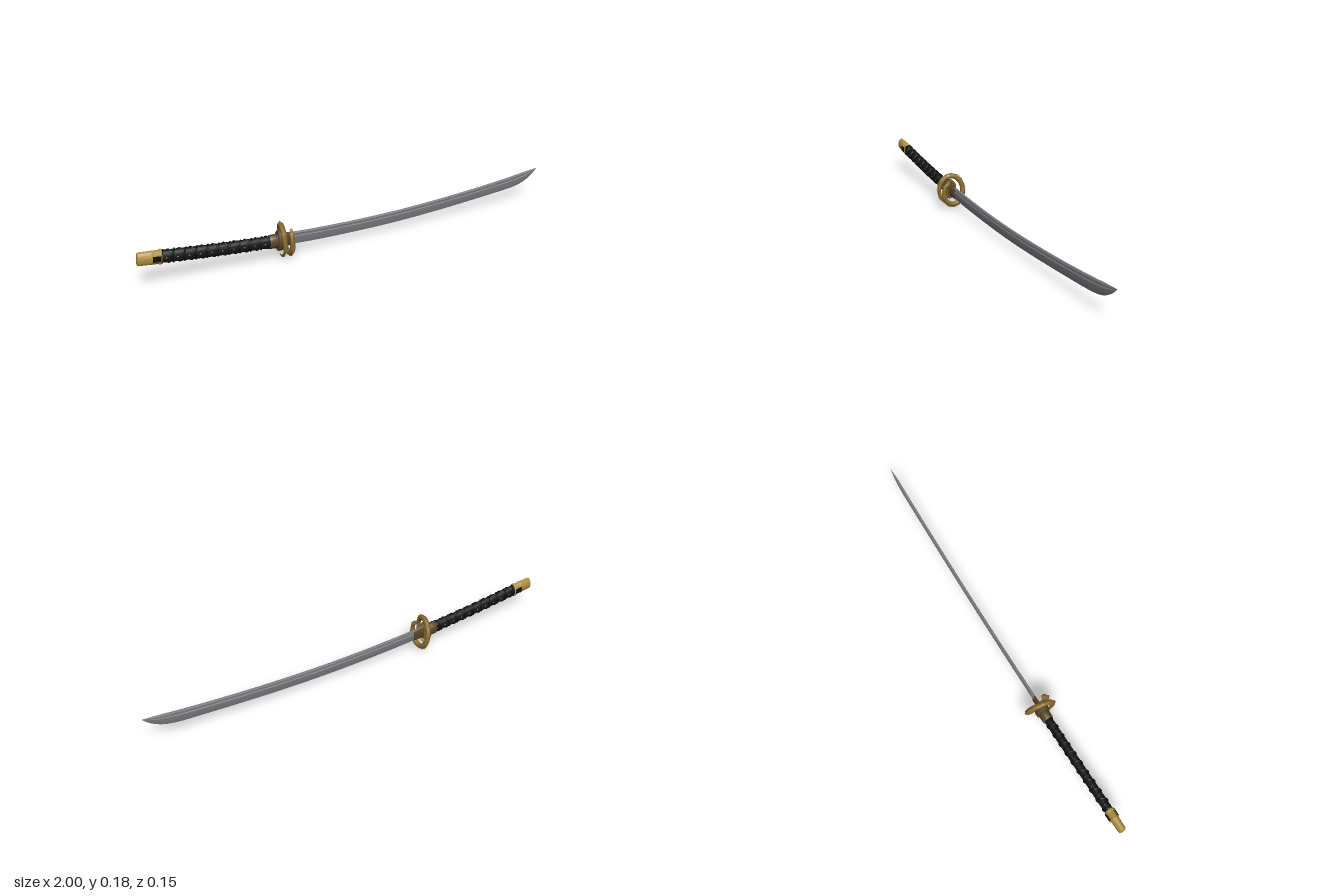
import * as THREE from 'three';
import { mergeGeometries, toCreasedNormals } from 'three/addons/utils/BufferGeometryUtils.js';

const paint = (name, color) => {
  const m = new THREE.MeshStandardMaterial({ color });
  m.name = name;
  return m;
};
const steel = paint('steel', 0x7a7c80);
const gold = paint('gold', 0xb0903f);
const oldGold = paint('old gold', 0x8c6d33);
const bronze = paint('bronze', 0x5a4524);
const black = paint('black cord', 0x0d0d0e);
const darkWrap = paint('dark wrap', 0x17161a);

// Skin closed loops of points; loops turn counterclockwise about the direction of travel
function loft(loops, crease = 0.6) {
  const pos = [];
  const n = loops[0].length;
  const tri = (...p) => p.forEach((v) => pos.push(v.x, v.y, v.z));
  const middle = (l) => l.reduce((s, v) => s.add(v), new THREE.Vector3()).divideScalar(n);
  for (let i = 0; i < loops.length - 1; i++) {
    for (let j = 0; j < n; j++) {
      const k = (j + 1) % n;
      const a = loops[i][j], b = loops[i][k], c = loops[i + 1][j], d = loops[i + 1][k];
      tri(a, b, c);
      tri(b, d, c);
    }
  }
  const first = loops[0], last = loops[loops.length - 1];
  const m0 = middle(first), m1 = middle(last);
  for (let j = 0; j < n; j++) {
    const k = (j + 1) % n;
    tri(m0, first[k], first[j]);
    tri(m1, last[j], last[k]);
  }
  const g = new THREE.BufferGeometry();
  g.setAttribute('position', new THREE.Float32BufferAttribute(pos, 3));
  return toCreasedNormals(g, crease);
}

// Smooth curve through points with increasing x, read as y(x)
function through(points) {
  return (x) => {
    let i = 0;
    while (i < points.length - 2 && x > points[i + 1][0]) i++;
    const p = (k) => points[Math.min(Math.max(k, 0), points.length - 1)];
    const [a, b, c, d] = [p(i - 1), p(i), p(i + 1), p(i + 2)];
    const h = c[0] - b[0], t = (x - b[0]) / h;
    const s0 = (c[1] - a[1]) / (c[0] - a[0]) * h, s1 = (d[1] - b[1]) / (d[0] - b[0]) * h;
    const t2 = t * t, t3 = t2 * t;
    return (2 * t3 - 3 * t2 + 1) * b[1] + (t3 - 2 * t2 + t) * s0 + (3 * t2 - 2 * t3) * c[1] + (t3 - t2) * s1;
  };
}

// Centre line of the grip, and a point on an oval around it
const gripY = through([[-1, 0.156], [-0.9, 0.144], [-0.68, 0.117], [-0.43, 0.093], [-0.3, 0.085]]);
function onGrip(x, angle, ry, rz) {
  const slope = (gripY(x + 0.005) - gripY(x - 0.005)) / 0.01;
  const dy = Math.cos(angle) * ry;
  return new THREE.Vector3(x - slope * dy, gripY(x) + dy, Math.sin(angle) * rz);
}
const gripLoft = (stations, sides = 28) => loft(stations.map(([x, ry, rz]) =>
  Array.from({ length: sides }, (_, j) => onGrip(x, j / sides * Math.PI * 2, ry, rz))));

// Blade with a groove below the spine
function bladeGeometry() {
  const spine = through([[-0.36, 0.118], [-0.2, 0.108], [0, 0.101], [0.2, 0.1], [0.4, 0.106], [0.6, 0.117], [0.8, 0.133], [1, 0.155]]);
  const edge = through([[-0.36, 0.06], [-0.2, 0.05], [0, 0.044], [0.2, 0.043], [0.4, 0.049], [0.6, 0.06], [0.8, 0.074], [0.86, 0.08], [0.92, 0.095], [0.97, 0.124], [1, 0.1545]]);
  const half = [[0, 0.003], [0.07, 0.0055], [0.15, 0.006], [0.19, 0.0035], [0.31, 0.0035], [0.35, 0.006], [0.7, 0.0042], [1, 0.0003]];
  const outline = [...half, ...half.slice().reverse().map(([f, z]) => [f, -z])];
  const loops = [];
  for (let i = 0; i <= 60; i++) {
    const x = -0.36 + 1.36 * (1 - (1 - i / 60) ** 1.3);
    const top = spine(x), h = top - edge(x);
    const thin = Math.min(1, h / 0.05);
    loops.push(outline.map(([f, z]) => new THREE.Vector3(x, top - f * h, z * thin)));
  }
  return loft(loops, 0.25);
}

// Serpent coil: angle 0 is the top, growing toward +z
const coilStart = 0.95, coilEnd = Math.PI * 2 + 3.3;
function coil(t) {
  const a = coilStart + (coilEnd - coilStart) * t;
  const size = 0.8 + 0.2 * Math.min(1, t * 3.2);
  const out = new THREE.Vector3(0, Math.cos(a), Math.sin(a));
  const p = new THREE.Vector3(-0.333 - 0.052 * t + 0.006 * Math.cos(a + 2.6), 0.089 + 0.069 * size * out.y, 0.057 * size * out.z);
  const r = 0.0122 * Math.min(1, 0.65 + t * 3) * Math.min(1, 0.15 + (1 - t) * 3);
  return { a, out, p, r };
}

export function createModel() {
  const model = new THREE.Group();
  const add = (name, geometry, material, parent = model) => {
    const m = new THREE.Mesh(geometry, material);
    m.name = name;
    parent.add(m);
    return m;
  };

  add('blade', bladeGeometry(), steel);
  add('bladeCollar', gripLoft([[-0.385, 0.034, 0.011], [-0.315, 0.031, 0.0085], [-0.312, 0.029, 0.007]]), bronze);

  // Grip core with criss-cross cords and small studs in the gaps
  const x0 = -0.905, x1 = -0.43, turns = 10;
  add('grip', gripLoft(Array.from({ length: 13 }, (_, i) => [x0 + (x1 - x0) * i / 12, 0.028, 0.0185])), darkWrap);
  for (const way of [1, -1]) {
    const pts = Array.from({ length: turns * 16 + 1 }, (_, i) =>
      onGrip(x0 + (x1 - x0) * i / (turns * 16), Math.PI / 2 + way * i / 16 * Math.PI * 2, 0.0275, 0.0185));
    add('gripCord', new THREE.TubeGeometry(new THREE.CatmullRomCurve3(pts), turns * 24, 0.0042, 6), black);
  }
  const studs = new THREE.Group();
  studs.name = 'gripStuds';
  model.add(studs);
  for (let i = 0; i < turns; i++) {
    for (const side of [1, -1]) {
      const x = x0 + (x1 - x0) * (i + (side > 0 ? 0.5 : 0.95)) / turns;
      const stud = add('stud', new THREE.OctahedronGeometry(0.0045), oldGold, studs);
      stud.position.set(x, gripY(x), side * 0.0185);
      stud.scale.z = 0.6;
    }
  }

  // Pommel cap, its rim and the cord knots on both sides
  add('pommel', gripLoft([[-0.997, 0.023, 0.012], [-0.996, 0.028, 0.0155], [-0.99, 0.03, 0.0175], [-0.945, 0.0305, 0.0185], [-0.94, 0.0325, 0.0205], [-0.934, 0.0305, 0.019], [-0.905, 0.031, 0.0195]]), gold);
  add('pommelRim', gripLoft([[-0.91, 0.0315, 0.02], [-0.907, 0.034, 0.022], [-0.9, 0.034, 0.022], [-0.897, 0.0315, 0.02]]), gold);
  for (const side of [1, -1]) {
    const knot = add('cordKnot', new THREE.BoxGeometry(0.034, 0.024, 0.006), black);
    knot.position.set(-0.919, gripY(-0.919) - 0.001, side * 0.0195);
    knot.rotation.z = -0.11;
  }

  // Ferrule and ribbed plate at the guard
  add('ferrule', gripLoft([[-0.432, 0.03, 0.022], [-0.428, 0.032, 0.0245], [-0.395, 0.033, 0.0255], [-0.39, 0.031, 0.024]]), bronze);
  add('guardPlate', gripLoft([[-0.393, 0.045, 0.03], [-0.39, 0.048, 0.032], [-0.372, 0.048, 0.032], [-0.369, 0.045, 0.03]]), bronze);
  for (let i = -3; i <= 3; i++) {
    const z = i * 0.0085;
    const rib = add('plateRib', new THREE.BoxGeometry(0.006, 0.088 * Math.sqrt(1 - (z / 0.032) ** 2), 0.004), oldGold);
    rib.position.set(-0.368, gripY(-0.368), z);
    rib.rotation.z = -0.09;
  }

  // Guard: coiled serpent with a spiny back
  const guard = new THREE.Group();
  guard.name = 'serpentGuard';
  model.add(guard);
  const loops = Array.from({ length: 111 }, (_, i) => {
    const { out, p, r } = coil(i / 110);
    return Array.from({ length: 12 }, (_, j) => {
      const b = j / 12 * Math.PI * 2;
      return p.clone().addScaledVector(out, Math.cos(b) * r).add(new THREE.Vector3(-Math.sin(b) * r, 0, 0));
    });
  });
  add('serpentBody', loft(loops, 0.9), oldGold, guard);
  const up = new THREE.Vector3(0, 1, 0);
  const spines = [];
  for (let i = 3; i < 125; i++) {
    const { out, p, r } = coil(i / 126);
    const g = new THREE.ConeGeometry(0.0028, 0.008, 4);
    g.applyQuaternion(new THREE.Quaternion().setFromUnitVectors(up, out));
    const q = p.addScaledVector(out, r + 0.0015);
    spines.push(g.translate(q.x, q.y, q.z));
  }
  add('serpentSpines', mergeGeometries(spines), oldGold, guard);

  // Head at the front end of the coil, with jaws and horns
  const start = coil(0);
  const head = new THREE.Group();
  head.name = 'serpentHead';
  head.position.copy(start.p);
  head.rotation.x = start.a;
  guard.add(head);
  const lump = (name, s, p) => {
    const m = add(name, new THREE.SphereGeometry(1, 14, 10), oldGold, head);
    m.scale.set(...s);
    m.position.set(...p);
  };
  lump('skull', [0.011, 0.01, 0.014], [0.001, 0, -0.003]);
  lump('upperJaw', [0.007, 0.0045, 0.012], [0.002, 0.003, -0.017]);
  lump('lowerJaw', [0.006, 0.003, 0.01], [0.001, -0.006, -0.014]);
  for (const side of [1, -1]) {
    const horn = add('horn', new THREE.ConeGeometry(0.003, 0.022, 6), gold, head);
    horn.position.set(side * 0.007, 0.009, 0.008);
    horn.rotation.x = 1.1;
  }
  return model;
}
